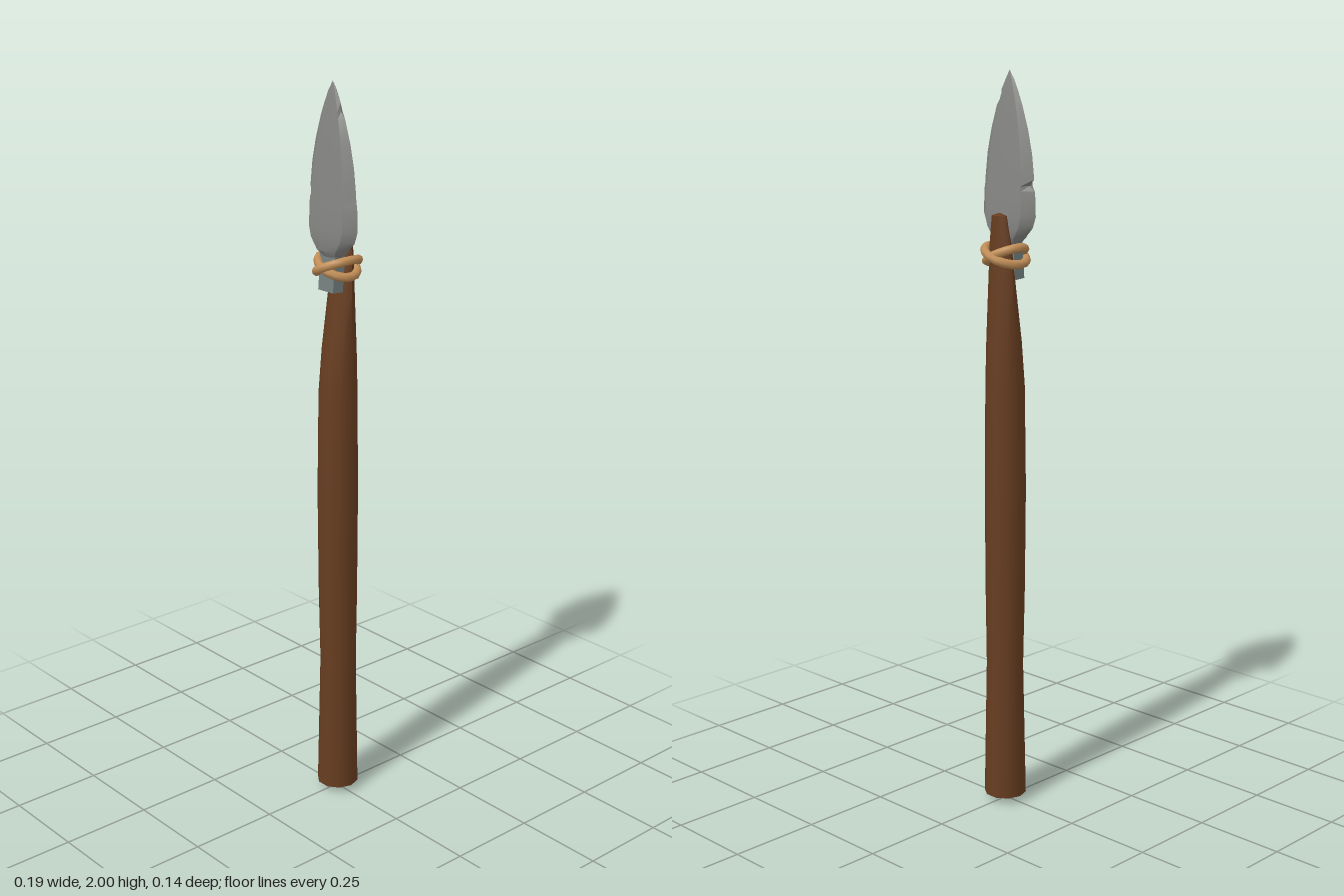
import * as THREE from 'three';
import { toCreasedNormals } from 'three/addons/utils/BufferGeometryUtils.js';

// Skin a stack of equal-sized rings (counter-clockwise from +x to +z) between two end points.
function loft(rings, bottom, top, crease) {
  const n = rings[0].length;
  const pos = [...rings.flat(), bottom, top].flat();
  const b = rings.length * n, t = b + 1, last = b - n;
  const index = [];
  for (let i = 0; i < n; i++) {
    const j = (i + 1) % n;
    for (let r = 0; r < last; r += n) {
      index.push(r + i, r + n + i, r + j, r + j, r + n + i, r + n + j);
    }
    index.push(b, i, j, t, last + j, last + i);
  }
  const g = new THREE.BufferGeometry();
  g.setAttribute('position', new THREE.Float32BufferAttribute(pos, 3));
  g.setIndex(index);
  return toCreasedNormals(g, crease);
}

// Closed lashing loop, tilted sideways so that two of them cross front and back.
class LashingCurve extends THREE.Curve {
  constructor(tilt, depth) {
    super();
    this.tilt = tilt;
    this.depth = depth;
  }
  getPoint(u, target = new THREE.Vector3()) {
    const a = u * Math.PI * 2;
    return target.set(0.05 * Math.cos(a), 1.527 + this.tilt * Math.cos(a), -0.002 + this.depth * Math.sin(a));
  }
}

export function createModel() {
  const wood = new THREE.MeshStandardMaterial({ color: 0x673d20 });
  wood.name = 'wood';
  const stone = new THREE.MeshStandardMaterial({ color: 0x868684 });
  stone.name = 'stone';
  const tangStone = new THREE.MeshStandardMaterial({ color: 0x74807f });
  tangStone.name = 'tangStone';
  const rope = new THREE.MeshStandardMaterial({ color: 0xc08d56 });
  rope.name = 'rope';

  const group = new THREE.Group();
  group.name = 'spear';
  const add = (name, geometry, material) => {
    const mesh = new THREE.Mesh(geometry, material);
    mesh.name = name;
    group.add(mesh);
    return mesh;
  };

  // Shaft: height, half width, front z, back z; cut away on the front near the head
  const shaft = [
    [0.02, 0.058, 0.055, -0.061],
    [0.4, 0.05, 0.047, -0.056],
    [0.62, 0.054, 0.051, -0.058],
    [0.9, 0.056, 0.053, -0.059],
    [1.18, 0.053, 0.049, -0.057],
    [1.3, 0.049, 0.037, -0.053],
    [1.45, 0.042, 0.013, -0.044],
    [1.56, 0.035, -0.002, -0.04],
    [1.63, 0.025, -0.012, -0.038],
  ].map(([y, w, f, b]) => Array.from({ length: 10 }, (_, i) => {
    const a = (i / 10) * Math.PI * 2;
    return [w * Math.cos(a), y, (f + b) / 2 + ((f - b) / 2) * Math.sin(a)];
  }));
  add('shaft', loft(shaft, [0, 0, -0.003], [0, 1.638, -0.025], 0.8), wood);

  // Blade: height, left reach, right reach, half thickness; the uneven rows are chips in the edge
  const zc = 0.013;
  const blade = [
    [1.555, 0.034, 0.034, 0.022],
    [1.57, 0.053, 0.053, 0.031],
    [1.6, 0.083, 0.083, 0.034],
    [1.63, 0.094, 0.094, 0.034],
    [1.68, 0.093, 0.092, 0.031],
    [1.695, 0.092, 0.09, 0.03],
    [1.708, 0.089, 0.07, 0.029],
    [1.725, 0.088, 0.088, 0.028],
    [1.79, 0.08, 0.08, 0.023],
    [1.85, 0.066, 0.066, 0.018],
    [1.91, 0.046, 0.046, 0.013],
    [1.925, 0.03, 0.04, 0.011],
    [1.95, 0.029, 0.029, 0.009],
    [1.975, 0.015, 0.017, 0.005],
  ].map(([y, l, r, t]) => {
    const bevel = 0.68 * Math.max(l, r);
    const lb = Math.min(bevel, 0.92 * l), rb = Math.min(bevel, 0.92 * r);
    return [
      [l, 0], [lb, 0.78], [0, 1], [-rb, 0.78],
      [-r, 0], [-rb, -0.78], [0, -1], [lb, -0.78],
    ].map(([x, k]) => [x, y, zc + k * t]);
  });
  add('blade', loft(blade, [0, 1.55, zc], [0, 2, zc], 0.45), stone);

  // Tang seated against the cut face of the shaft
  const tang = add('tang', new THREE.BoxGeometry(0.058, 0.12, 0.034), tangStone);
  tang.position.set(0, 1.523, 0.017);
  tang.rotation.x = -0.08;

  // Two crossed rope loops
  [[0.022, 0.059], [-0.022, 0.051]].forEach(([tilt, depth], i) => {
    add(`lashing${i + 1}`, new THREE.TubeGeometry(new LashingCurve(tilt, depth), 16, 0.012, 8, true), rope);
  });

  return group;
}
